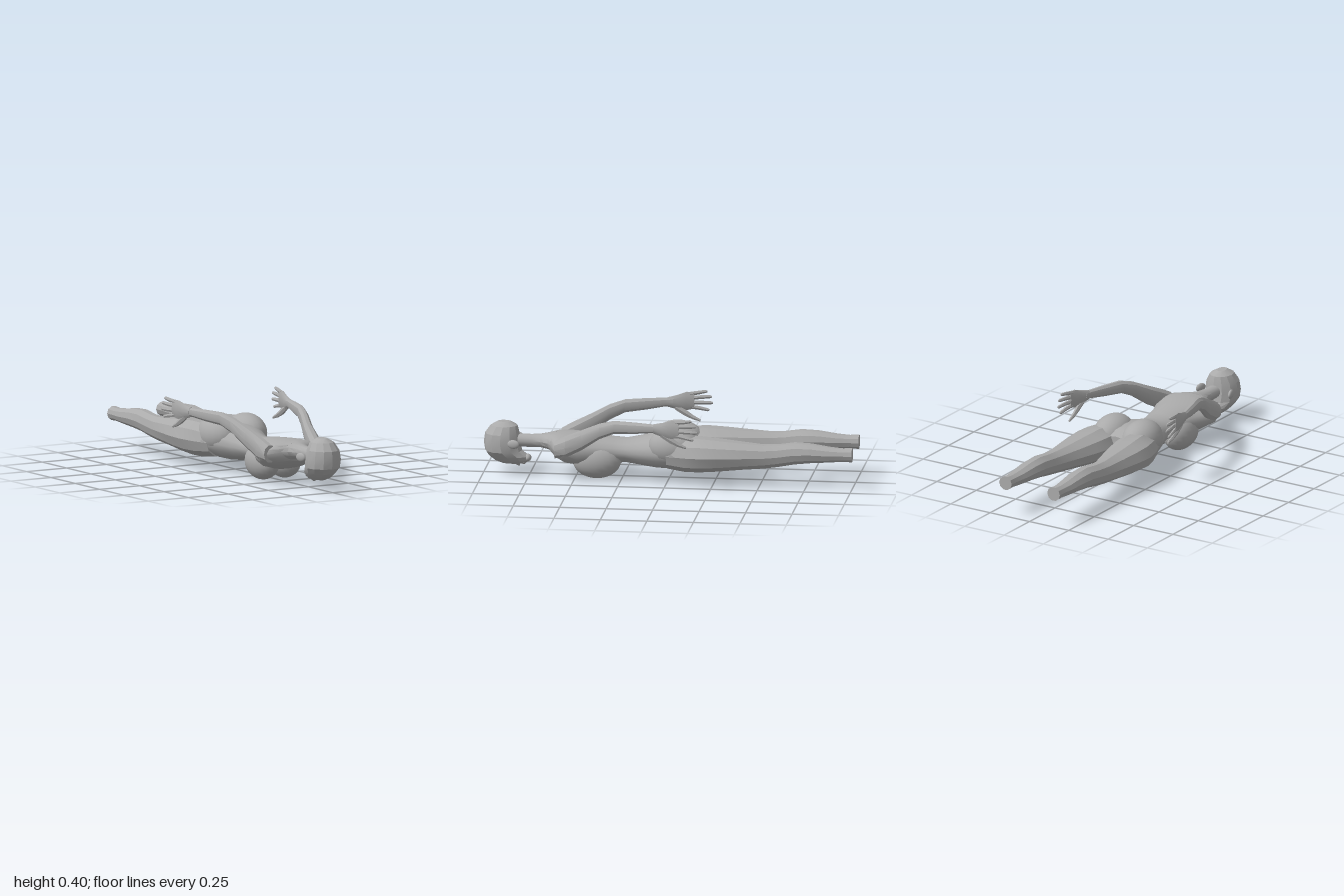
import * as THREE from 'three';
import { mergeVertices, toCreasedNormals } from 'three/addons/utils/BufferGeometryUtils.js';

const grey = new THREE.MeshStandardMaterial({ color: 0xaaaaaa });
grey.name = 'matte grey';

// Closed skin through elliptical rings; each row is [z, centreX, centreY, radiusX, radiusY].
function loft(rows, sides = 10, crease = 0.6) {
  const rings = [...rows].sort((a, b) => a[0] - b[0]);
  const pos = [], index = [];
  for (const [z, cx, cy, rx, ry] of rings) {
    for (let j = 0; j < sides; j++) {
      const a = (j / sides) * Math.PI * 2;
      pos.push(cx + rx * Math.cos(a), cy + ry * Math.sin(a), z);
    }
  }
  const last = rings.length - 1;
  for (let i = 0; i < last; i++) {
    for (let j = 0; j < sides; j++) {
      const k = (j + 1) % sides, a = i * sides, b = a + sides;
      index.push(a + j, a + k, b + k, a + j, b + k, b + j);
    }
  }
  for (let j = 1; j < sides - 1; j++) {
    index.push(0, j + 1, j, last * sides, last * sides + j, last * sides + j + 1);
  }
  const g = new THREE.BufferGeometry();
  g.setAttribute('position', new THREE.Float32BufferAttribute(pos, 3));
  g.setIndex(index);
  return toCreasedNormals(g, crease);
}

function add(group, name, geometry) {
  const mesh = new THREE.Mesh(geometry, grey);
  mesh.name = name;
  group.add(mesh);
  return mesh;
}

// Smooth rounded mass
function ellipsoid(group, name, centre, radii) {
  const mesh = add(group, name, new THREE.SphereGeometry(1, 20, 14));
  mesh.position.set(...centre);
  mesh.scale.set(...radii);
  return mesh;
}

const flip = (rows, s) => rows.map(([z, x, ...rest]) => [z, x * s, ...rest]);

const TORSO = [
  [0.635, 0, 0.178, 0.09, 0.05], [0.6, 0, 0.168, 0.17, 0.065],
  [0.55, 0, 0.155, 0.192, 0.08], [0.48, 0, 0.148, 0.165, 0.085],
  [0.4, 0, 0.148, 0.13, 0.08], [0.3, 0, 0.148, 0.11, 0.065],
  [0.23, 0, 0.145, 0.102, 0.064], [0.15, 0, 0.147, 0.12, 0.078],
  [0.06, 0, 0.155, 0.158, 0.097], [-0.04, 0, 0.16, 0.195, 0.1],
  [-0.11, 0, 0.16, 0.21, 0.088], [-0.15, 0, 0.16, 0.15, 0.06],
];
const NECK = [
  [0.86, 0, 0.18, 0.038, 0.036], [0.74, 0, 0.18, 0.038, 0.036],
  [0.69, 0, 0.182, 0.045, 0.038], [0.65, 0, 0.182, 0.07, 0.044],
  [0.61, 0, 0.178, 0.13, 0.055],
];
const LEG = [
  [0, 0.105, 0.155, 0.075, 0.08], [-0.1, 0.117, 0.158, 0.103, 0.095],
  [-0.18, 0.126, 0.162, 0.117, 0.096], [-0.28, 0.134, 0.163, 0.106, 0.088],
  [-0.4, 0.142, 0.165, 0.084, 0.076], [-0.52, 0.15, 0.166, 0.058, 0.066],
  [-0.6, 0.151, 0.173, 0.051, 0.062], [-0.69, 0.149, 0.188, 0.057, 0.06],
  [-0.78, 0.15, 0.191, 0.055, 0.053], [-0.88, 0.152, 0.187, 0.046, 0.042],
  [-0.95, 0.153, 0.187, 0.038, 0.036], [-1, 0.153, 0.188, 0.04, 0.039],
];
const ARM = [
  [0.6, 0.148, 0.17, 0.038, 0.048], [0.54, 0.163, 0.19, 0.04, 0.06],
  [0.45, 0.185, 0.235, 0.033, 0.056], [0.35, 0.22, 0.295, 0.029, 0.043],
  [0.27, 0.245, 0.325, 0.025, 0.036], [0.15, 0.279, 0.332, 0.022, 0.031],
  [0.06, 0.303, 0.338, 0.017, 0.024], [0.02, 0.31, 0.338, 0.016, 0.024],
];
const PALM = [
  [0.05, 0.306, 0.338, 0.017, 0.026], [0, 0.316, 0.336, 0.016, 0.04],
  [-0.05, 0.327, 0.341, 0.015, 0.052], [-0.09, 0.333, 0.344, 0.01, 0.047],
];
// Fingers: [base y, tip y, tip z]
const FINGERS = [[0.38, 0.392, -0.16], [0.358, 0.364, -0.184], [0.333, 0.33, -0.19], [0.31, 0.292, -0.17]];
const THUMB = [
  [0.01, 0.314, 0.312, 0.012, 0.018], [-0.04, 0.316, 0.282, 0.012, 0.02],
  [-0.085, 0.315, 0.256, 0.01, 0.013], [-0.125, 0.313, 0.24, 0.006, 0.007],
];
// Head is lofted upward: [height, x, -z, half width, half length]
const HEAD = [
  [0.283, 0, -0.89, 0.025, 0.035], [0.262, 0, -0.89, 0.062, 0.072],
  [0.22, 0, -0.9, 0.086, 0.093], [0.17, 0, -0.902, 0.094, 0.098],
  [0.125, 0, -0.893, 0.091, 0.1], [0.095, 0, -0.866, 0.074, 0.108],
  [0.072, 0, -0.85, 0.055, 0.095], [0.056, 0, -0.84, 0.033, 0.065],
];

export function createModel() {
  const model = new THREE.Group();
  model.name = 'lyingFigure';

  // Trunk and neck
  add(model, 'torso', loft(TORSO, 16, 0.8));
  add(model, 'neck', loft(NECK, 12));

  // Head, facing down
  const head = new THREE.Group();
  head.name = 'head';
  model.add(head);
  add(head, 'skull', loft(HEAD, 12, 0.35).rotateX(-Math.PI / 2));
  const nose = add(head, 'nose', toCreasedNormals(mergeVertices(new THREE.ConeGeometry(0.02, 0.06, 4)), 0.3));
  nose.position.set(0, 0.058, 0.835);
  nose.rotation.x = 0.9 * Math.PI / 2;
  nose.scale.z = 0.8;
  ellipsoid(head, 'lips', [0, 0.062, 0.785], [0.026, 0.012, 0.013]);
  ellipsoid(head, 'chin', [0, 0.085, 0.764], [0.032, 0.02, 0.02]);

  for (const s of [1, -1]) {
    const side = s > 0 ? 'left' : 'right';
    // Ear
    const ear = ellipsoid(head, side + 'Ear', [s * 0.096, 0.178, 0.83], [0.012, 0.024, 0.033]);
    ear.rotation.y = s * -0.25;

    // Rounded body masses
    ellipsoid(model, side + 'Breast', [s * 0.067, 0.096, 0.385], [0.077, 0.095, 0.13]);
    ellipsoid(model, side + 'Buttock', [s * 0.09, 0.19, -0.035], [0.1, 0.104, 0.14]);

    // Limbs
    add(model, side + 'Leg', loft(flip(LEG, s), 10, 0.45));
    add(model, side + 'Arm', loft(flip(ARM, s), 10, 0.5));

    // Hand
    const hand = new THREE.Group();
    hand.name = side + 'Hand';
    model.add(hand);
    add(hand, 'palm', loft(flip(PALM, s), 10));
    add(hand, 'thumb', loft(flip(THUMB, s), 6));
    for (const [base, tip, z] of FINGERS) {
      add(hand, 'finger', loft(flip([
        [-0.07, 0.33, base, 0.009, 0.012], [(z - 0.07) / 2, 0.34, (base + tip) / 2, 0.009, 0.011],
        [z + 0.01, 0.344, tip, 0.008, 0.009], [z, 0.344, tip, 0.004, 0.005],
      ], s), 6));
    }
  }
  return model;
}
